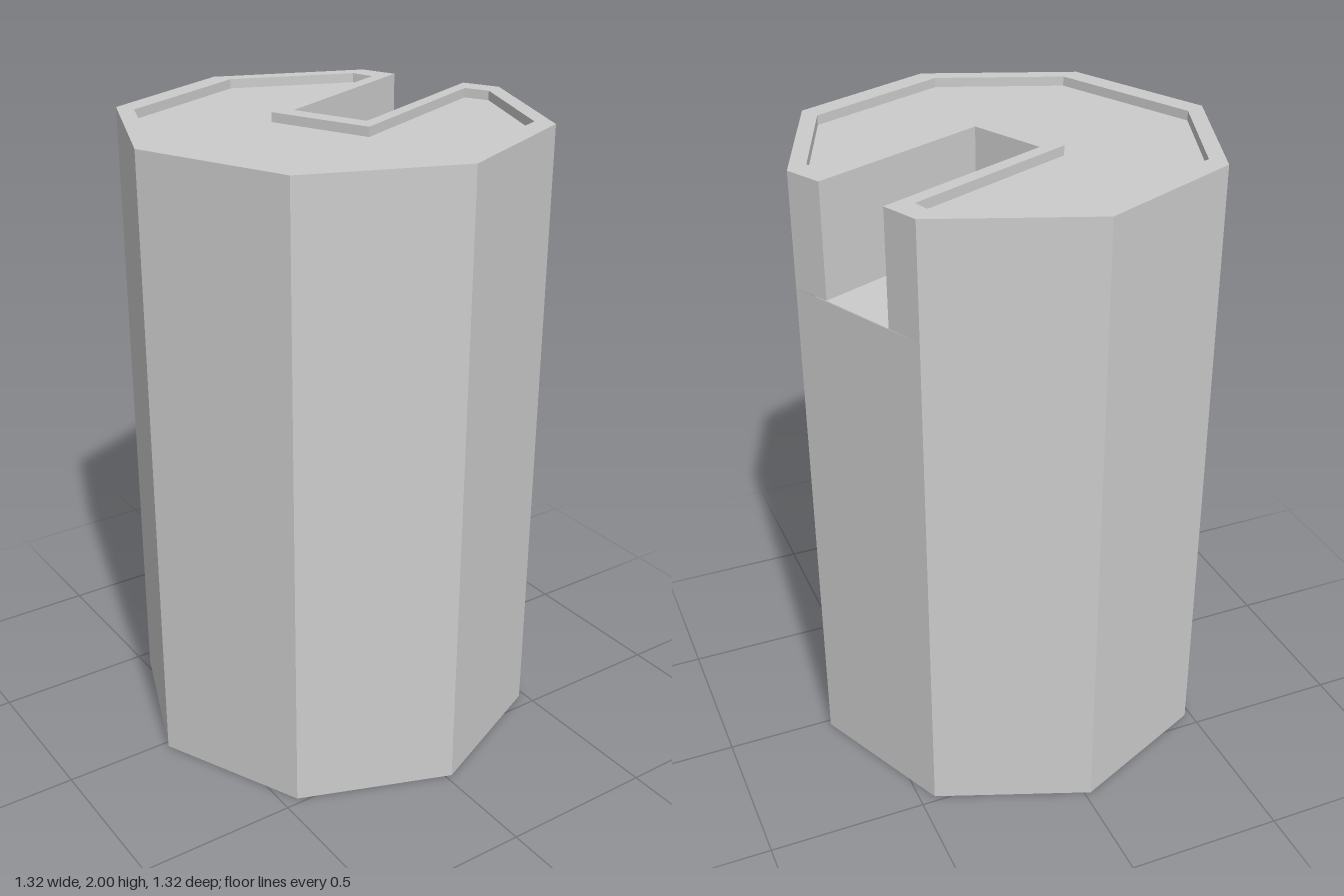
import * as THREE from 'three';

const TOP = 2, PANEL = 1.97, FLOOR = 1.645, GROOVE = 0.15;

const material = new THREE.MeshStandardMaterial({ color: 0xcccccc, side: THREE.DoubleSide, flatShading: true });
const smoothMaterial = new THREE.MeshStandardMaterial({ color: 0xcccccc, side: THREE.DoubleSide });

function mesh(name, geometry, mat = material) {
  const m = new THREE.Mesh(geometry, mat);
  m.name = name;
  return m;
}

// Sheet between two rows of 3D points
function sheet(upper, lower, smooth = false) {
  const index = [];
  const n = upper.length;
  for (let i = 0; i < n - 1; i++) index.push(i, i + 1, n + i, i + 1, n + i + 1, n + i);
  let g = new THREE.BufferGeometry().setFromPoints([...upper, ...lower]);
  g.setIndex(index);
  if (!smooth) g = g.toNonIndexed();
  g.computeVertexNormals();
  return g;
}

const at = (y) => ([x, z]) => new THREE.Vector3(x, y, z);

// Upright wall along a path of [x, z] points
const wall = (path, y0, y1) => sheet(path.map(at(y1)), path.map(at(y0)));

// Level face from [x, z] outlines
function level(outline, y, hole) {
  const toPoints = (p) => p.map(([x, z]) => new THREE.Vector2(x, -z));
  const shape = new THREE.Shape(toPoints(outline));
  if (hole) shape.holes.push(new THREE.Path(toPoints(hole)));
  return new THREE.ShapeGeometry(shape).rotateX(-Math.PI / 2).translate(0, y, 0);
}

// Eight-sided outline from two corners repeated by quarter turns
function octagon(a, b) {
  const points = [];
  for (let i = 0; i < 4; i++) {
    for (let [x, z] of [a, b]) {
      for (let k = 0; k < i; k++) [x, z] = [-z, x];
      points.push([x, z]);
    }
  }
  return points;
}

export function createModel() {
  const group = new THREE.Group();

  const outer = octagon([0.66, -0.02], [0.48, 0.452]);
  const inner = octagon([0.597, 0.006], [0.45, 0.392]);

  // Slot corners: near mouth, near end, far end, far mouth
  const slot = [[0.604, -0.132], [0.05, 0.114], [-0.055, -0.119], [0.5, -0.366]];
  const lip = [[0.417, -0.377], [-0.125, -0.134], [0.013, 0.176], [0.558, -0.067]];
  const recess = [...inner, ...lip];

  // Hollow body, open underneath, with the slot cut in its upper part
  const body = new THREE.Group();
  body.name = 'body';
  body.add(
    mesh('lowerWall', wall([...outer, outer[0]], 0, FLOOR)),
    mesh('upperWall', wall([slot[0], ...outer, slot[3]], FLOOR, TOP)),
  );
  group.add(body);

  // Raised rim around the sunken top panel
  group.add(
    mesh('rim', level([...outer, ...[...slot].reverse()], TOP, recess)),
    mesh('rimInnerWall', wall([...recess, recess[0]], PANEL, TOP)),
    mesh('topPanel', level(recess, PANEL)),
    mesh('slotWalls', wall(slot, FLOOR, TOP)),
  );

  // Slot floor with a groove that slopes down to the closed end
  const nearOut = [0.407, -0.13], nearIn = [0.023, 0.048];
  const farIn = [-0.024, -0.053], farOut = [0.358, -0.223];
  group.add(mesh('slotFloor', level(
    [slot[0], slot[1], nearIn, nearOut, farOut, farIn, slot[2], slot[3]], FLOOR)));

  const near = [], far = [];
  for (let i = 0; i <= 10; i++) {
    const t = i / 10;
    const y = FLOOR - GROOVE * (t < 0.2 ? t * t / 0.36 : (t - 0.1) / 0.9);
    near.push(at(y)(nearOut).lerp(at(y)(nearIn), t));
    far.push(at(y)(farOut).lerp(at(y)(farIn), t));
  }
  const raised = (row) => row.map((p) => p.clone().setY(FLOOR));
  group.add(
    mesh('grooveRamp', sheet(far, near, true), smoothMaterial),
    mesh('grooveNearSide', sheet(raised(near), near)),
    mesh('grooveFarSide', sheet(far, raised(far))),
    mesh('grooveEnd', wall([nearIn, farIn], FLOOR - GROOVE, FLOOR)),
  );

  return group;
}
